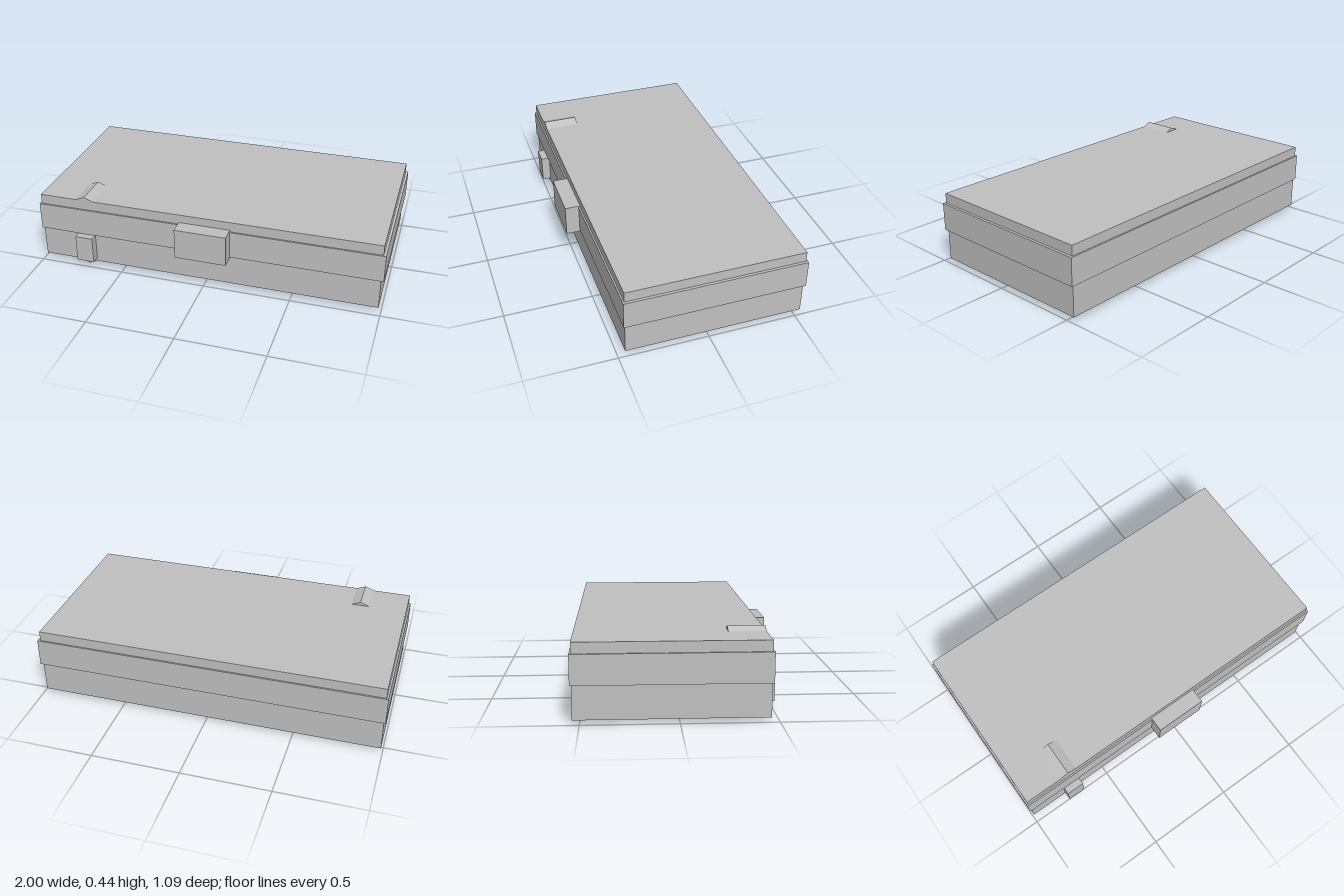
import * as THREE from 'three';

export function createModel() {
  const group = new THREE.Group();
  const grey = new THREE.MeshStandardMaterial({ color: 0xc0c0c0 });
  grey.name = 'plain grey';

  const add = (name, geometry) => {
    const mesh = new THREE.Mesh(geometry, grey);
    mesh.name = name;
    group.add(mesh);
  };

  // Box given by its lower and upper limits on each axis
  const box = (name, [x0, x1], [y0, y1], [z0, z1]) => {
    const geometry = new THREE.BoxGeometry(x1 - x0, y1 - y0, z1 - z0);
    geometry.translate((x0 + x1) / 2, (y0 + y1) / 2, (z0 + z1) / 2);
    add(name, geometry);
  };

  // Case with a slightly wider band around its middle
  box('caseBody', [-0.99, 0.985], [0.023, 0.418], [-0.537, 0.459]);
  box('middleBand', [-1, 1], [0.201, 0.36], [-0.546, 0.468]);

  // Front latch and small tab
  box('latch', [-0.15, 0.145], [0.193, 0.37], [0.44, 0.546]);
  box('frontTab', [-0.77, -0.667], [0.044, 0.2], [0.44, 0.509]);

  // Shallow pointed ridges on the top and bottom faces
  const ridge = (name, base, tip) => {
    const shape = new THREE.Shape([
      new THREE.Vector2(-0.774, base),
      new THREE.Vector2(-0.664, base),
      new THREE.Vector2(-0.719, tip),
    ]);
    const geometry = new THREE.ExtrudeGeometry(shape, { depth: 0.199, bevelEnabled: false });
    geometry.translate(0, 0, 0.26);
    add(name, geometry);
  };
  ridge('topRidge', 0.417, 0.439);
  ridge('bottomRidge', 0.024, 0);

  return group;
}
